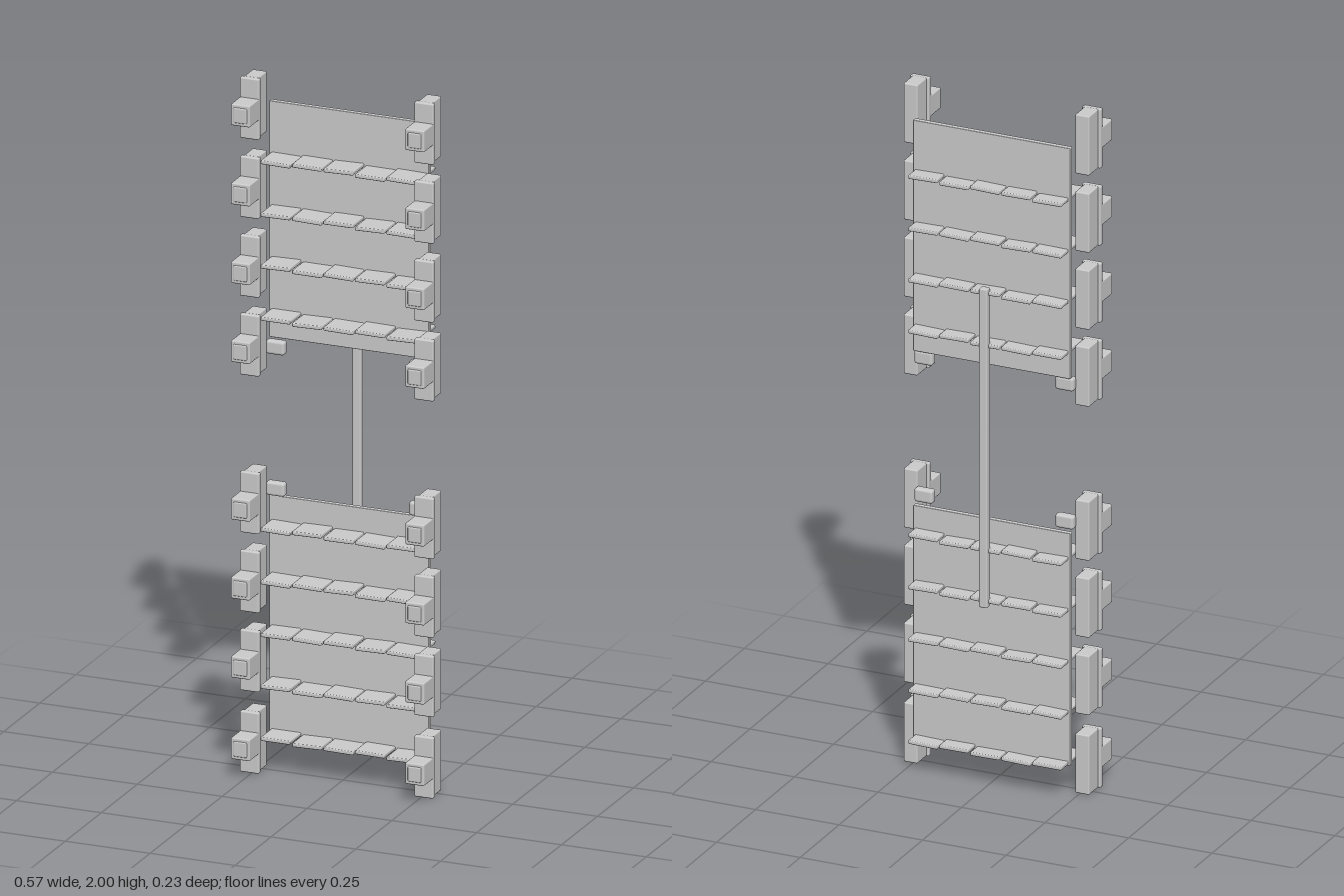
import * as THREE from 'three';
import { RoundedBoxGeometry } from 'three/addons/geometries/RoundedBoxGeometry.js';

const grey = new THREE.MeshStandardMaterial({ color: 0xcccccc });
grey.name = 'light grey';

// Softly bevelled box given by its extents on each axis
function block(name, [x0, x1], [y0, y1], [z0, z1], radius = 0.004) {
  const geometry = new RoundedBoxGeometry(x1 - x0, y1 - y0, z1 - z0, 2, radius);
  const mesh = new THREE.Mesh(geometry, grey);
  mesh.name = name;
  mesh.position.set((x0 + x1) / 2, (y0 + y1) / 2, (z0 + z1) / 2);
  return mesh;
}

// Upright bracket: narrow rear rib, wide front flange and a projecting knob
function bracket(side, y) {
  const group = new THREE.Group();
  group.name = side > 0 ? 'leftBracket' : 'rightBracket';
  group.add(
    block('rib', [-0.021, 0.021], [-0.0875, 0.0875], [-0.028, 0.034]),
    block('flange', [-0.028, 0.028], [-0.0875, 0.0875], [0.03, 0.047]),
    block('knob', [-0.028, 0.028], [-0.031, 0.031], [0.04, 0.109]),
    block('knobCap', [-0.02, 0.02], [-0.022, 0.022], [0.1, 0.112])
  );
  group.position.set(side * 0.257, y, 0);
  return group;
}

// Row of five thin tiles, each tipped very slightly
function shelf(y, row) {
  const group = new THREE.Group();
  group.name = 'shelf';
  for (let i = 0; i < 5; i++) {
    const tile = block('tile', [-0.0435, 0.0435], [-0.0055, 0.0055], [-0.069, 0.069], 0.003);
    tile.position.set((i - 2) * 0.0928, 0.0025 * Math.cos(i * 2.1 + row), -0.034);
    tile.rotation.z = 0.025 * Math.sin(i * 1.9 + row * 1.3);
    group.add(tile);
  }
  group.position.y = y;
  return group;
}

// One half of the rack: back panel, shelves, brackets and corner pegs
function section(name, panelY, shelfYs, bracketYs, pegY) {
  const group = new THREE.Group();
  group.name = name;
  group.add(block('backPanel', [-0.235, 0.235], panelY, [-0.058, -0.042], 0.002));
  shelfYs.forEach((y, row) => group.add(shelf(y, row)));
  for (const side of [-1, 1]) {
    for (const y of bracketYs) group.add(bracket(side, y));
    const peg = block('peg', [-0.0275, 0.0275], [-0.02, 0.02], [-0.047, -0.021], 0.008);
    peg.position.x = side * 0.211;
    peg.position.y = pegY;
    group.add(peg);
  }
  return group;
}

export function createModel() {
  const model = new THREE.Group();
  model.name = 'shelfRack';
  model.add(
    section('lowerSection', [0.09, 0.775], [0.095, 0.247, 0.398, 0.55, 0.701],
      [0.0875, 0.322, 0.55, 0.777], 0.8),
    section('upperSection', [1.23, 1.91], [1.305, 1.457, 1.608, 1.76],
      [1.231, 1.458, 1.685, 1.9125], 1.207),
    // Rear pole linking the two sections
    block('rearPole', [-0.0125, 0.0125], [0.535, 1.475], [-0.114, -0.092])
  );
  return model;
}
